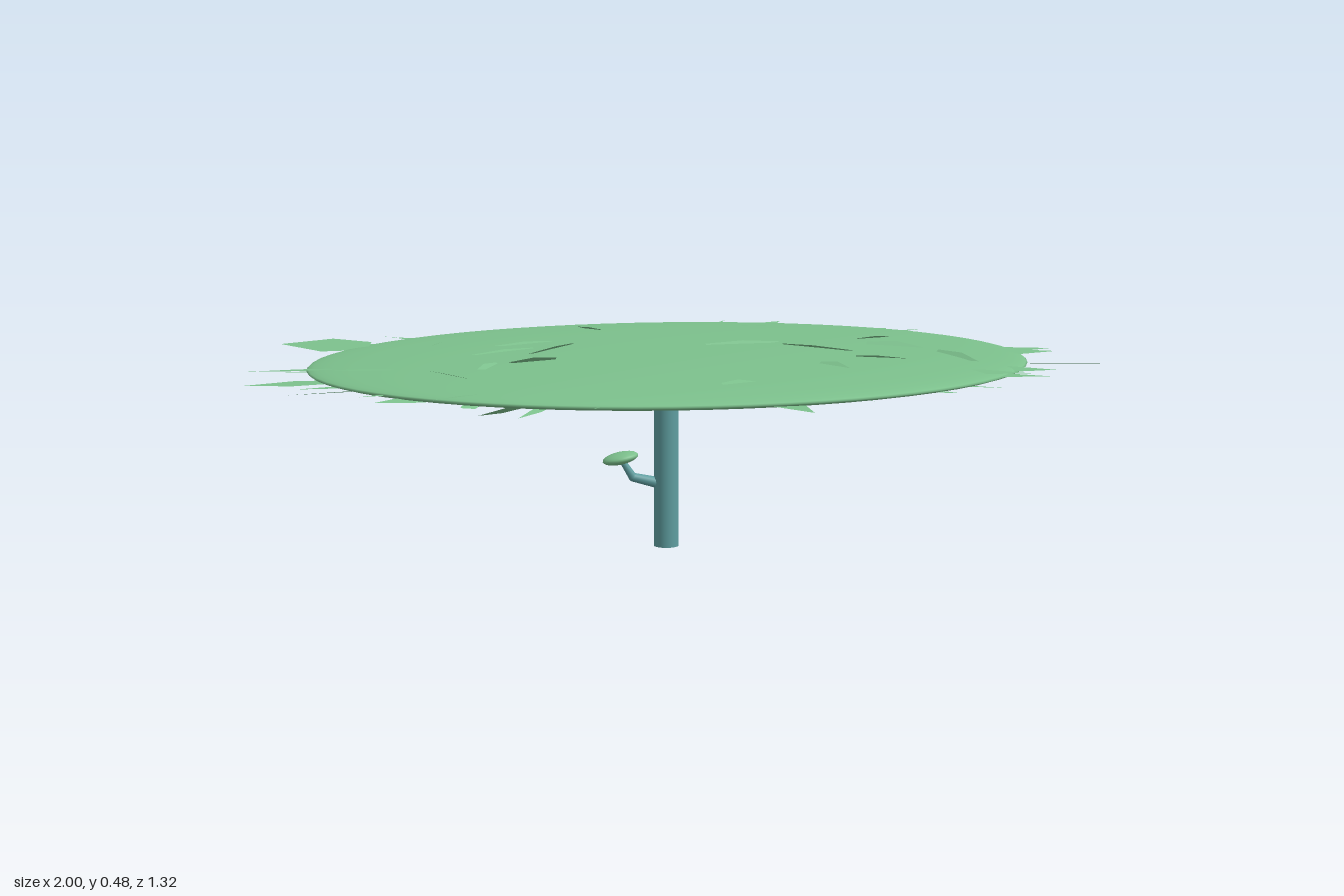
import * as THREE from 'three';

const leafMat = new THREE.MeshStandardMaterial({ color: 0x7cc08c });
const bladeMat = new THREE.MeshStandardMaterial({ color: 0x7cc08c, side: THREE.DoubleSide });
const barkMat = new THREE.MeshStandardMaterial({ color: 0x5f9ea0 });

// Small seeded generator, 0..1
let seed = 7;
const rand = () => (seed = (seed * 16807) % 2147483647) / 2147483647;

function add(parent, name, geometry, material) {
  const mesh = new THREE.Mesh(geometry, material);
  mesh.name = name;
  parent.add(mesh);
  return mesh;
}

// Flattened ellipsoid of foliage
function foliage(parent, name, pos, radii, tilt = [0, 0, 0], detail = 24) {
  const mesh = add(parent, name, new THREE.SphereGeometry(1, detail * 2, detail), leafMat);
  mesh.position.set(...pos);
  mesh.scale.set(...radii);
  mesh.rotation.set(...tilt);
}

// Jointed branch: tapered segments with a ball at each bend
function branch(parent, name, points, r0, r1) {
  const group = new THREE.Group();
  group.name = name;
  const p = points.map(a => new THREE.Vector3(...a));
  const radius = i => r0 + (r1 - r0) * i / (p.length - 1);
  for (let i = 0; i < p.length - 1; i++) {
    const dir = p[i + 1].clone().sub(p[i]);
    const seg = add(group, 'branchSegment', new THREE.CylinderGeometry(radius(i + 1), radius(i), dir.length(), 10), barkMat);
    seg.position.copy(p[i]).addScaledVector(dir, 0.5);
    seg.quaternion.setFromUnitVectors(new THREE.Vector3(0, 1, 0), dir.normalize());
    add(group, 'branchJoint', new THREE.SphereGeometry(radius(i + 1), 10, 8), barkMat).position.copy(p[i + 1]);
  }
  parent.add(group);
}

// Flat pointed blade, root at the origin, tip along +x
function bladeGeometry(length, width) {
  const s = new THREE.Shape();
  s.moveTo(0, -width * 0.3);
  s.lineTo(length * 0.45, -width * 0.5);
  s.lineTo(length, 0);
  s.lineTo(length * 0.5, width * 0.5);
  s.lineTo(0, width * 0.3);
  return new THREE.ShapeGeometry(s).rotateX(-Math.PI / 2);
}

export function createModel() {
  seed = 7;
  const tree = new THREE.Group();
  tree.name = 'tree';

  // Trunk
  add(tree, 'trunk', new THREE.CylinderGeometry(0.029, 0.03, 0.43, 20), barkMat).position.set(-0.01, 0.215, -0.015);

  // Branches with their small leaf pads
  branch(tree, 'lowBranch', [[-0.02, 0.15, -0.015], [-0.09, 0.168, -0.012], [-0.118, 0.212, -0.01]], 0.014, 0.007);
  foliage(tree, 'lowLeafPad', [-0.12, 0.215, -0.01], [0.043, 0.014, 0.034], [0, 0, 0.2], 12);
  branch(tree, 'backBranch', [[-0.01, 0.277, -0.025], [-0.002, 0.302, -0.105], [0.01, 0.335, -0.15]], 0.015, 0.007);
  foliage(tree, 'backLeafPad', [0.01, 0.341, -0.153], [0.036, 0.014, 0.044], [-0.3, 0, 0], 12);
  branch(tree, 'topBranch', [[0, 0.33, -0.025], [0.045, 0.352, -0.035], [0.08, 0.425, -0.05]], 0.016, 0.01);

  // Broad flat canopy
  const cx = 0, cy = 0.438, cz = -0.02, rx = 0.85, ry = 0.035, rz = 0.612;
  foliage(tree, 'canopy', [cx, cy, cz], [rx, ry, rz], [0, 0, 0], 32);

  // Leaf blades sticking out of the rim: tip x, tip z, width
  const tips = [
    [-0.9, -0.37, 0.08], [-0.61, -0.57, 0.05], [-0.66, -0.54, 0.02], [-0.75, -0.38, 0.03],
    [0.38, -0.64, 0.07], [0.24, -0.66, 0.02], [0.64, -0.54, 0.07], [0.7, -0.42, 0.05],
    [0.88, -0.22, 0.04], [0.95, -0.11, 0.05], [0.93, 0, 0.04], [1, 0.15, 0.05],
    [0.86, 0.25, 0.04], [0.83, 0.32, 0.04], [0.78, 0.33, 0.03], [0.7, 0.42, 0.03],
    [0.58, 0.47, 0.03], [0.38, 0.55, 0.02], [0.21, 0.66, 0.09], [-0.26, 0.59, 0.05],
    [-0.6, 0.48, 0.03], [-0.72, 0.39, 0.05], [-0.75, 0.35, 0.04], [-0.88, 0.17, 0.03],
    [-0.9, 0.22, 0.04], [-1, 0.13, 0.05], [-0.99, 0.04, 0.05], [-0.92, -0.08, 0.03],
    [-0.24, -0.63, 0.02],
  ];
  const rim = new THREE.Group();
  rim.name = 'rimBlades';
  for (const [x, z, width] of tips) {
    const length = 0.22;
    // lean the blade between radial and the x axis
    const angle = Math.atan2(z - cz, x * 1.3);
    const blade = add(rim, 'leafBlade', bladeGeometry(length, width), bladeMat);
    blade.rotation.set((rand() - 0.5) * 0.5, -angle, 0, 'YXZ');
    blade.position.set(x - Math.cos(angle) * length, cy + (rand() - 0.5) * 0.03, z - Math.sin(angle) * length);
  }
  tree.add(rim);

  // Slim blades lying in the upper and lower canopy surface
  const scatter = new THREE.Group();
  scatter.name = 'surfaceBlades';
  for (let i = 0; i < 44; i++) {
    const a = rand() * Math.PI * 2, r = Math.sqrt(rand()) * 0.85;
    const side = i % 2 ? 1 : -1;
    const blade = add(scatter, 'leafBlade', bladeGeometry(0.08 + rand() * 0.12, 0.02 + rand() * 0.02), bladeMat);
    blade.position.set(cx + rx * r * Math.cos(a), cy + side * ry * Math.sqrt(1 - r * r) * 0.96, cz + rz * r * Math.sin(a));
    blade.rotation.set((rand() - 0.5) * 1.2, (rand() - 0.5) * 2.4 + (Math.cos(a) < 0 ? Math.PI : 0), (rand() - 0.5) * 0.06, 'YXZ');
  }
  tree.add(scatter);

  return tree;
}
